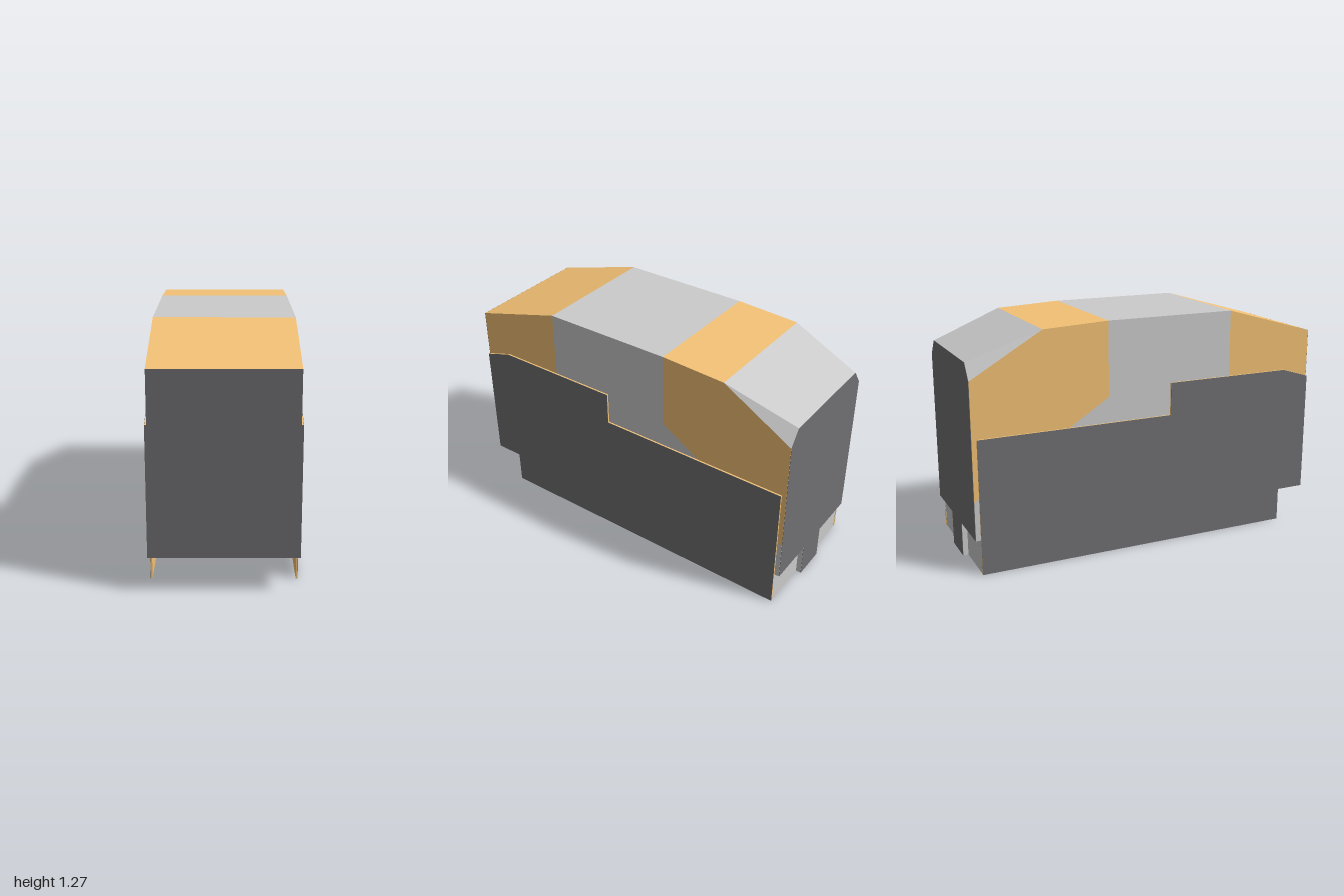
import * as THREE from 'three';
import { ConvexGeometry } from 'three/addons/geometries/ConvexGeometry.js';

const grey = new THREE.MeshStandardMaterial({ color: 0xcccccc });
const orange = new THREE.MeshStandardMaterial({ color: 0xf4c276 });
const dark = new THREE.MeshStandardMaterial({ color: 0x707073 });

const W = 0.363;      // half width of the body
const OUT = 0.373;    // half width over the side panels
const SKIN = 0.0015;  // thickness of the dark facings

const outline = pts => new THREE.Shape(pts.map(p => new THREE.Vector2(p[0], p[1])));

// Side profile given as [z, y], extruded across x from x0 to x1
function sideProfile(pts, x0, x1) {
  const geo = new THREE.ExtrudeGeometry(outline(pts), { depth: x1 - x0, bevelEnabled: false });
  return geo.rotateY(-Math.PI / 2).translate(x1, 0, 0);
}

// Outline given as [x, y], a thin facing starting at z
function facing(pts, z) {
  return new THREE.ExtrudeGeometry(outline(pts), { depth: SKIN, bevelEnabled: false }).translate(0, 0, z);
}

export function createModel() {
  const model = new THREE.Group();
  const add = (name, geo, mat) => {
    const mesh = new THREE.Mesh(geo, mat);
    mesh.name = name;
    model.add(mesh);
  };

  // Body: overhanging nose, middle with floor, and rear
  add('frontBody', sideProfile([[1, 0.19], [1, 1.127], [0.48, 1.275], [0.48, 0.19]], -W, W), orange);
  add('middleBody', sideProfile([
    [0.48, 0], [0.48, 1.275], [-0.25, 1.275], [-0.25, 0.87],
    [-0.998, 0.4], [-0.998, 0.19], [-0.97, 0.19], [-0.97, 0],
  ], -W, W), grey);
  add('rearBody', sideProfile([
    [-0.25, 1.275], [-0.61, 1.258], [-0.998, 1.031], [-0.998, 0.4], [-0.25, 0.87],
  ], -W, W), orange);

  // Sloping rear roof with tapered corner chamfers
  const roof = [];
  for (const s of [-1, 1]) {
    roof.push(
      new THREE.Vector3(s * W, 1.258, -0.61),
      new THREE.Vector3(s * W, 1.031, -0.998),
      new THREE.Vector3(s * 0.302, 1.115, -0.998),
    );
  }
  add('rearRoof', new ConvexGeometry(roof), grey);

  // Tab between the two recesses low on the rear
  add('rearTab', new THREE.BoxGeometry(0.186, 0.19, 0.028).translate(0, 0.095, -0.984), grey);

  // Dark facings on both ends
  add('frontFacing', facing([
    [-OUT, 0.187], [OUT, 0.187], [OUT, 0.86], [W, 0.86],
    [W, 1.127], [-W, 1.127], [-W, 0.86], [-OUT, 0.86],
  ], 1 - SKIN / 2), dark);
  add('rearFacing', facing([
    [W, 0.19], [W, 1.031], [0.302, 1.115], [-0.302, 1.115], [-W, 1.031], [-W, 0.19],
    [-0.093, 0.19], [-0.093, 0], [0.093, 0], [0.093, 0.19],
  ], -1), dark);

  // Stepped side panels, dark on the outside
  const panel = [
    [1, 0.187], [1, 0.86], [0.84, 0.91], [0.115, 0.91], [0.115, 0.73],
    [-0.972, 0.73], [-0.972, 0], [0.84, 0], [0.84, 0.187],
  ];
  const a = OUT - SKIN;
  add('leftPanel', sideProfile(panel, W, a), orange);
  add('leftPanelFacing', sideProfile(panel, a, OUT), dark);
  add('rightPanel', sideProfile(panel, -a, -W), orange);
  add('rightPanelFacing', sideProfile(panel, -OUT, -a), dark);

  return model;
}
